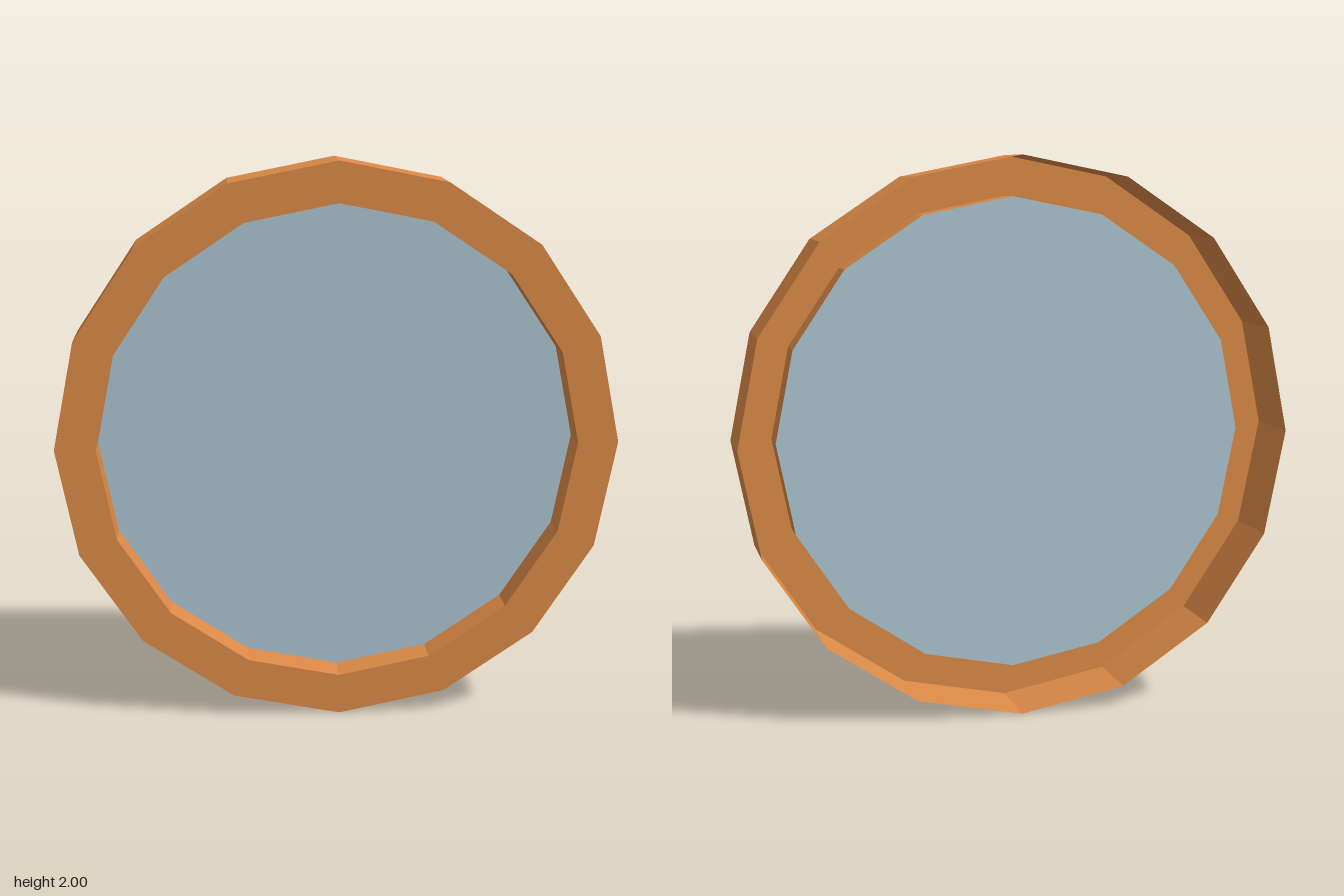
import * as THREE from 'three';

const SIDES = 16;
const OUTER = 1;
const INNER = 0.855;
const HALF_DEPTH = 0.13;

export function createModel() {
  const copper = new THREE.MeshStandardMaterial({ color: 0xdc8a47, flatShading: true, side: THREE.DoubleSide });
  copper.name = 'copper';
  const paleGlass = new THREE.MeshStandardMaterial({ color: 0xacc6d1, flatShading: true, side: THREE.DoubleSide });
  paleGlass.name = 'paleGlass';

  const model = new THREE.Group();
  model.name = 'roundWindow';

  // Frame: outer wall, front rim and an inner lip down to the pane; open at the back
  const profile = [
    [OUTER, -HALF_DEPTH],
    [OUTER, HALF_DEPTH],
    [INNER, HALF_DEPTH],
    [INNER, 0],
  ].map(([r, z]) => new THREE.Vector2(r, z));
  const frameGeometry = new THREE.LatheGeometry(profile, SIDES).rotateX(Math.PI / 2).toNonIndexed();
  frameGeometry.computeVertexNormals();
  const frame = new THREE.Mesh(frameGeometry, copper);
  frame.name = 'frame';

  // Pane: flat disc at mid depth
  const pane = new THREE.Mesh(new THREE.CircleGeometry(INNER, SIDES), paleGlass);
  pane.name = 'pane';

  model.add(frame, pane);
  for (const part of model.children) part.position.y = OUTER;
  return model;
}
